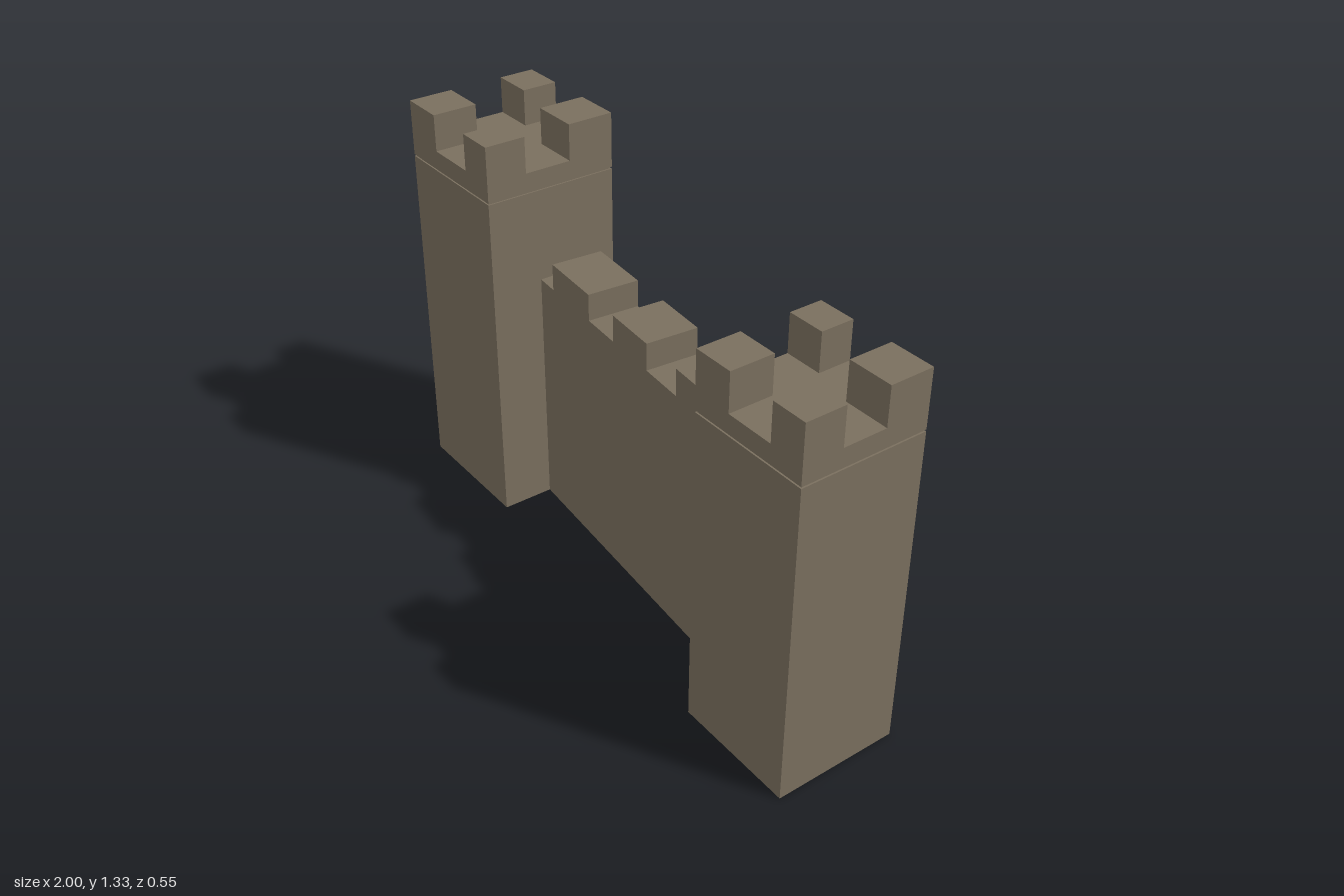
import * as THREE from 'three';

const stone = new THREE.MeshStandardMaterial({ color: 0x7a6f5e });
stone.name = 'stone';

// Box given by its min and max on each axis
function block(name, x0, x1, y0, y1, z0, z1) {
  const mesh = new THREE.Mesh(new THREE.BoxGeometry(x1 - x0, y1 - y0, z1 - z0), stone);
  mesh.position.set((x0 + x1) / 2, (y0 + y1) / 2, (z0 + z1) / 2);
  mesh.name = name;
  return mesh;
}

// Square tower: shaft, thin recessed joint, cap slab and a merlon on each corner
function tower(name, { x0, x1, z0, z1, shaft, cap, top, merlons }) {
  const g = new THREE.Group();
  g.name = name;
  const gap = 0.003, inset = 0.005;
  g.add(block('shaft', x0, x1, 0, shaft - gap, z0, z1));
  g.add(block('joint', x0 + inset, x1 - inset, shaft - gap, shaft + gap, z0 + inset, z1 - inset));
  g.add(block('capSlab', x0, x1, shaft + gap, cap, z0, z1));
  for (const [sx, sz, w, d] of merlons) {
    const mx = sx < 0 ? x0 : x1 - w;
    const mz = sz < 0 ? z0 : z1 - d;
    g.add(block('merlon', mx, mx + w, cap, top, mz, mz + d));
  }
  return g;
}

export function createModel() {
  const model = new THREE.Group();
  model.name = 'castleWall';

  // Merlons: corner sign in x, corner sign in z, width, depth
  model.add(tower('tallTower', {
    x0: -1, x1: -0.545, z0: -0.275, z1: 0.18, shaft: 1.14, cap: 1.205, top: 1.325,
    merlons: [[-1, -1, 0.14, 0.12], [1, -1, 0.16, 0.158], [-1, 1, 0.15, 0.15], [1, 1, 0.127, 0.137]],
  }));
  model.add(tower('shortTower', {
    x0: 0.595, x1: 1, z0: -0.133, z1: 0.275, shaft: 1.04, cap: 1.102, top: 1.224,
    merlons: [[-1, -1, 0.122, 0.106], [1, -1, 0.145, 0.14], [-1, 1, 0.132, 0.14], [1, 1, 0.115, 0.128]],
  }));

  // Slightly angled curtain wall with its walkway slab and merlons
  const wall = new THREE.Group();
  wall.name = 'curtainWall';
  const d = 0.087;
  wall.add(block('wallBody', -0.7, 0.7, 0, 0.772, -d, d));
  wall.add(block('walkway', -0.7, 0.7, 0.772, 0.828, -d, d));
  for (const [a, b] of [[-0.484, -0.258], [-0.113, 0.077], [0.235, 0.494]]) {
    wall.add(block('wallMerlon', a, b, 0.828, 0.918, -d, d));
  }
  wall.position.set(0.025, 0, -0.035);
  wall.rotation.y = -0.084;
  model.add(wall);
  return model;
}
